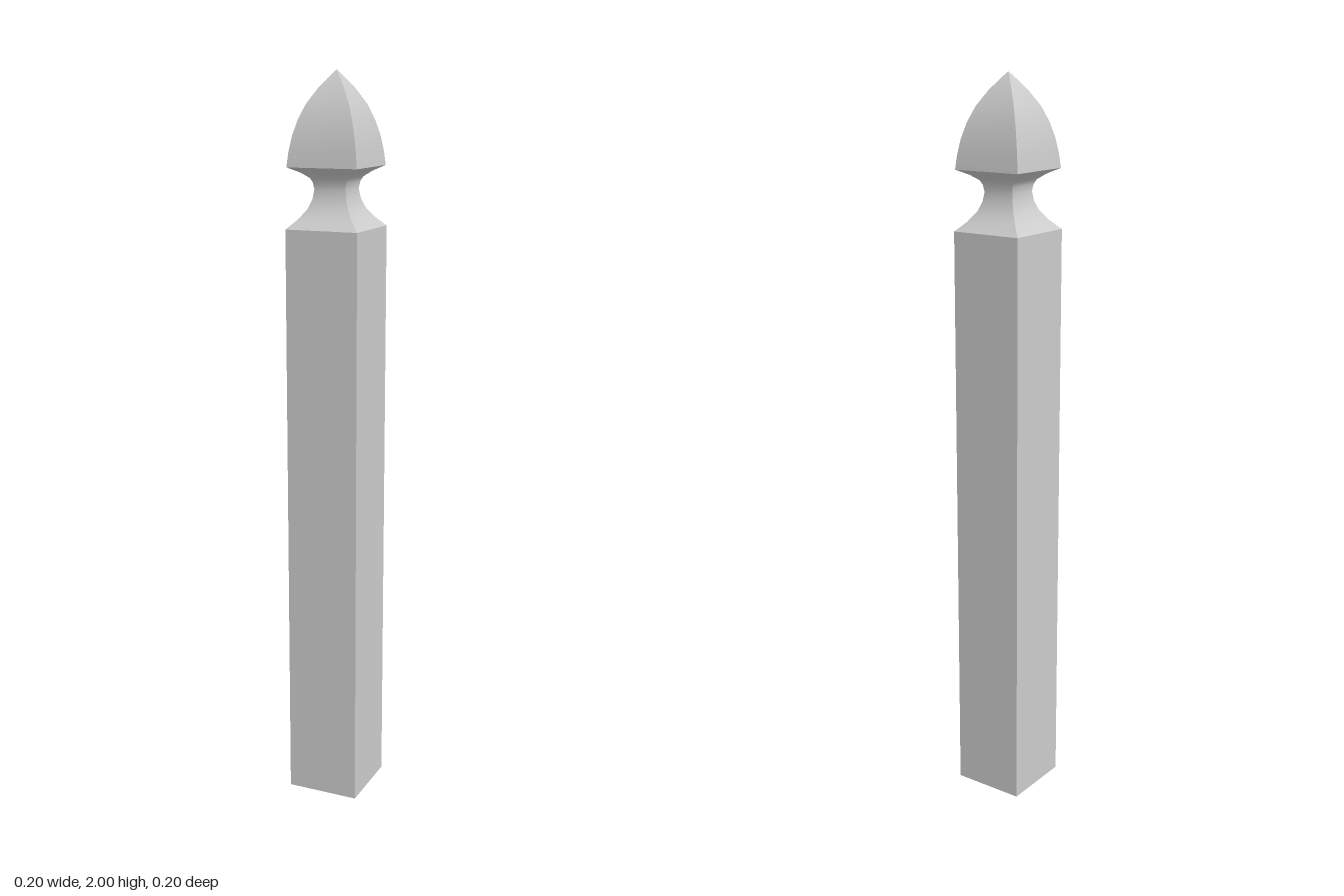
import * as THREE from 'three';
import { mergeGeometries } from 'three/addons/utils/BufferGeometryUtils.js';

const material = new THREE.MeshStandardMaterial({ color: 0xcccccc });

// Square turning: sweeps a [halfWidth, y] profile (bottom to top) up four sides,
// smooth along the profile and sharp at the corners.
function squareTurning(name, profile) {
  const n = profile.length - 1;
  const sides = [];
  for (let s = 0; s < 4; s++) {
    const panel = new THREE.PlaneGeometry(2, 1, 1, n);
    const pos = panel.attributes.position;
    for (let i = 0; i < pos.count; i++) {
      const [half, y] = profile[n - Math.floor(i / 2)];
      pos.setXYZ(i, Math.sign(pos.getX(i)) * half, y, half);
    }
    panel.computeVertexNormals();
    sides.push(panel.rotateY(s * Math.PI / 2));
  }
  const mesh = new THREE.Mesh(mergeGeometries(sides), material);
  mesh.name = name;
  return mesh;
}

export function createModel() {
  const group = new THREE.Group();
  group.name = 'fencePost';

  // Square shaft
  const shaft = new THREE.Mesh(new THREE.BoxGeometry(0.202, 1.6, 0.202), material);
  shaft.name = 'shaft';
  shaft.position.y = 0.8;
  group.add(shaft);

  // Waisted neck, flaring out under the finial
  group.add(squareTurning('neck', [
    [0.101, 1.6], [0.076, 1.625], [0.058, 1.65], [0.048, 1.675], [0.044, 1.7],
    [0.047, 1.718], [0.053, 1.73], [0.071, 1.744], [0.098, 1.758],
  ]));

  // Pointed finial with bowed sides
  group.add(squareTurning('finial', [
    [0.098, 1.758], [0.094, 1.795], [0.087, 1.835], [0.076, 1.875],
    [0.06, 1.915], [0.036, 1.955], [0.017, 1.98], [0.0005, 2],
  ]));

  return group;
}
